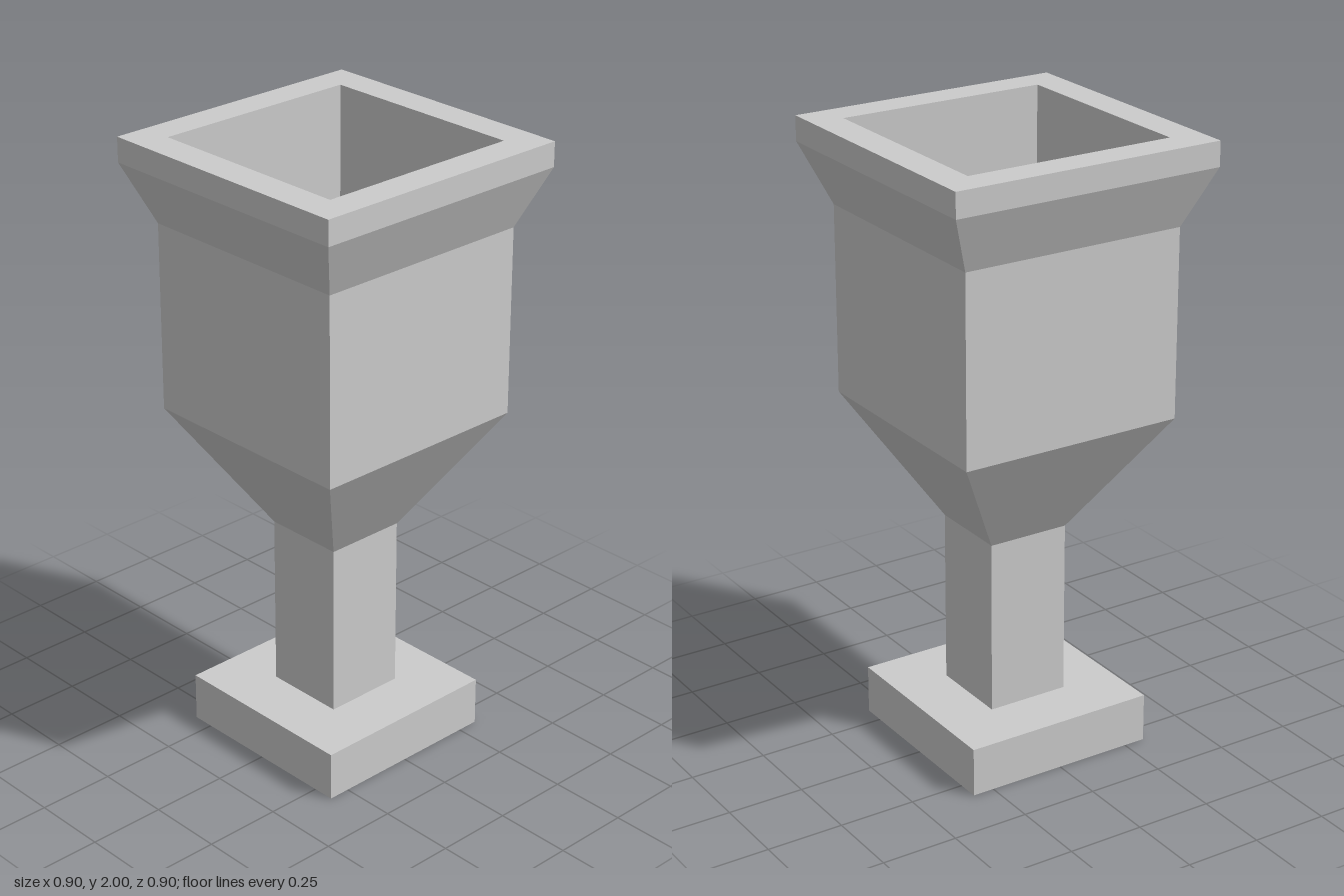
import * as THREE from 'three';

// Square-plan solid swept from [half width, height] points, bottom to top
function squareTurned(name, profile, material) {
  const points = profile.map(([half, y]) => new THREE.Vector2(half * Math.SQRT2, y));
  const geometry = new THREE.LatheGeometry(points, 4, Math.PI / 4).toNonIndexed();
  geometry.computeVertexNormals();
  const mesh = new THREE.Mesh(geometry, material);
  mesh.name = name;
  return mesh;
}

export function createModel() {
  const group = new THREE.Group();
  group.name = 'squareGoblet';
  const material = new THREE.MeshStandardMaterial({ color: 0xcccccc, flatShading: true });

  const baseTop = 0.16, stemTop = 0.73, floor = 1.12;
  const stemHalf = 0.136, innerHalf = 0.347;

  // Flat plinth, with a ledge running in to the stem
  group.add(squareTurned('base', [[0, 0], [0.321, 0], [0.321, baseTop], [stemHalf, baseTop]], material));

  // Square stem
  group.add(squareTurned('stem', [[stemHalf, baseTop], [stemHalf, stemTop]], material));

  // Flared underside, straight walls and outward lip
  group.add(squareTurned('bowl', [
    [stemHalf, stemTop], [0.373, 1.12], [0.373, 1.73],
    [0.452, 1.92], [0.452, 2], [innerHalf, 2],
  ], material));

  // Straight-sided hollow with a flat floor
  group.add(squareTurned('cavity', [[innerHalf, 2], [innerHalf, floor], [0, floor]], material));

  return group;
}
